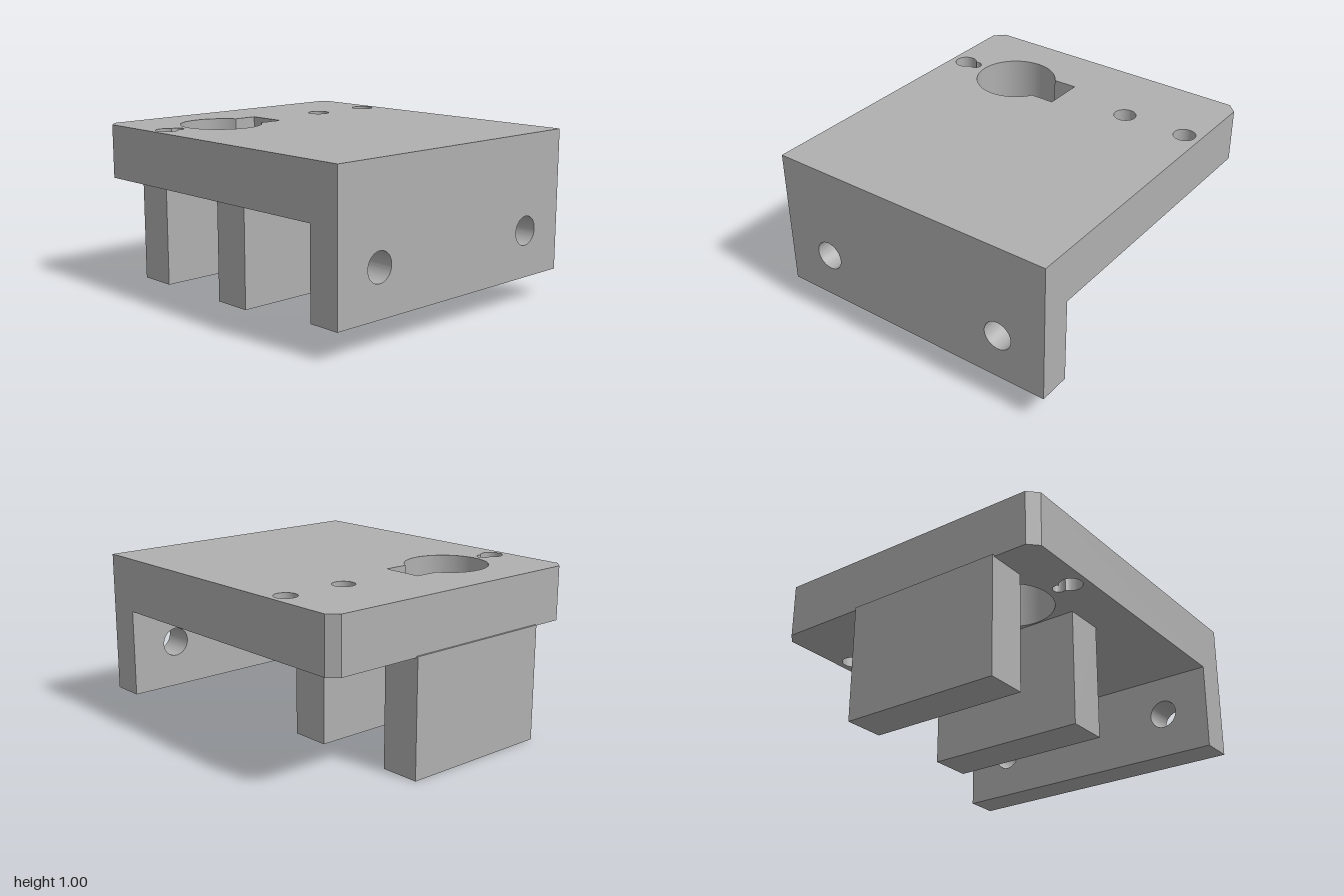
import * as THREE from 'three';
import { toCreasedNormals } from 'three/addons/utils/BufferGeometryUtils.js';

const HALF_W = 0.893, TOP = 1, UNDER = 0.68, WALL_BACK = 0.805;

export function createModel() {
  const group = new THREE.Group();
  group.name = 'mountingBracket';
  const grey = new THREE.MeshStandardMaterial({ color: 0xb0b0b0 });
  grey.name = 'grey';

  const add = (name, geometry) => {
    const mesh = new THREE.Mesh(geometry, grey);
    mesh.name = name;
    group.add(mesh);
    return mesh;
  };
  const extrude = (shape, depth) => toCreasedNormals(
    new THREE.ExtrudeGeometry(shape, { depth, bevelEnabled: false, curveSegments: 40 }), 0.5);
  const outline = (points) => new THREE.Shape(points.map(([x, y]) => new THREE.Vector2(x, y)));
  const circle = (x, y, r) => new THREE.Path().absarc(x, y, r, 0, Math.PI * 2, false);

  // Top plate: drawn with shape y = -z, back corners chamfered
  const plate = outline([
    [-HALF_W, -WALL_BACK], [HALF_W, -WALL_BACK], [HALF_W, 0.93],
    [0.835, 0.988], [-0.835, 0.988], [-HALF_W, 0.93],
  ]);
  const row = 0.515;

  // Large round opening with a slot towards +x
  const a = Math.PI / 6;
  const keyhole = new THREE.Path();
  keyhole.absarc(-0.4, row, 0.242, a, Math.PI * 2 - a, false);
  keyhole.lineTo(-0.043, row - 0.121);
  keyhole.lineTo(-0.043, row + 0.121);
  keyhole.closePath();

  // Small hole merged with a smaller one
  const doubleHole = new THREE.Path();
  doubleHole.absarc(-0.795, row, 0.065, 0.517, Math.PI * 2 - 0.517, false);
  doubleHole.absarc(-0.72, row, 0.037, -2.094, 2.094, false);
  doubleHole.closePath();

  plate.holes.push(keyhole, doubleHole, circle(0.395, row, 0.065), circle(0.793, row, 0.065));
  const topPlate = add('topPlate', extrude(plate, TOP - UNDER));
  topPlate.rotation.x = -Math.PI / 2;
  topPlate.position.y = UNDER;

  // Front wall with two bolt holes
  const wall = outline([[-HALF_W, 0.163], [HALF_W, 0.163], [HALF_W, TOP], [-HALF_W, TOP]]);
  for (const side of [-1, 1]) wall.holes.push(circle(side * 0.597, 0.44, 0.086));
  add('frontWall', extrude(wall, 1 - WALL_BACK)).position.z = WALL_BACK;

  // Two hanging tabs; the rear one stands slightly proud of the plate
  for (const [name, back, front, top] of [
    ['middleTab', -0.263, -0.02, UNDER],
    ['rearTab', -1, -0.76, UNDER + 0.008],
  ]) {
    const tab = add(name, new THREE.BoxGeometry(0.955, top, front - back));
    tab.position.set(-0.16, top / 2, (front + back) / 2);
  }
  return group;
}
